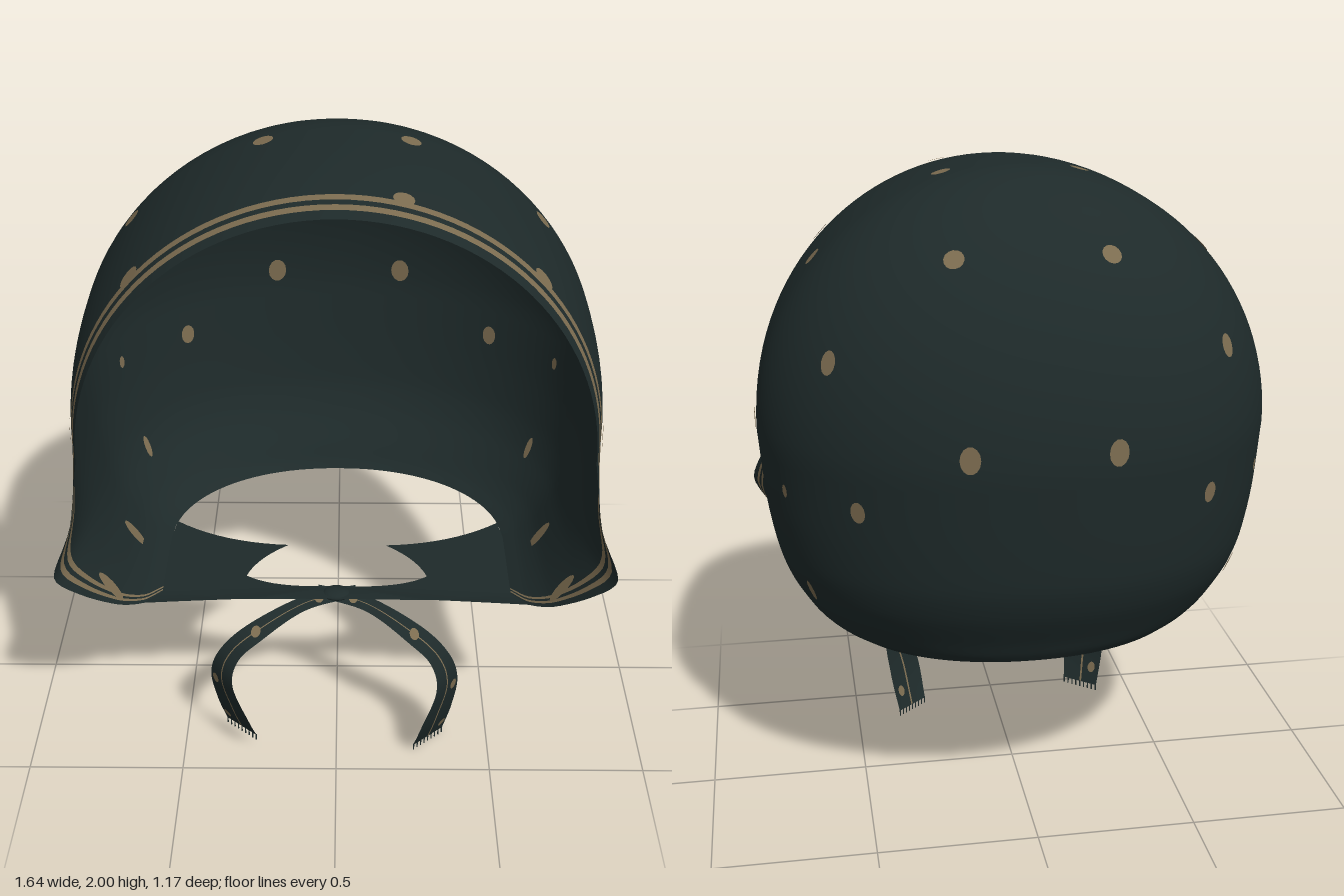
import * as THREE from 'three';
import { mergeVertices } from 'three/addons/utils/BufferGeometryUtils.js';

const V = (x, y, z) => new THREE.Vector3(x, y, z);
const lerp = THREE.MathUtils.lerp, clamp = THREE.MathUtils.clamp;

// Surface from fn(row, column); the listed columns take the second material
function grid(fn, rows, cols, striped) {
  const pos = [], plain = [], stripe = [];
  for (let r = 0; r <= rows; r++) for (let c = 0; c <= cols; c++) pos.push(...fn(r, c).toArray());
  for (let r = 0; r < rows; r++) for (let c = 0; c < cols; c++) {
    const a = r * (cols + 1) + c, b = a + cols + 1;
    (striped.includes(c) ? stripe : plain).push(a, a + 1, b, a + 1, b + 1, b);
  }
  let g = new THREE.BufferGeometry();
  g.setAttribute('position', new THREE.Float32BufferAttribute(pos, 3));
  g.setIndex([...plain, ...stripe]);
  g = mergeVertices(g, 1e-5);
  g.clearGroups();
  g.addGroup(0, plain.length, 0);
  g.addGroup(plain.length, stripe.length, 1);
  g.computeVertexNormals();
  return g;
}

// Lower hood levels: y, side half-width, back depth, front edge z, front edge half-width
const LEVELS = [
  [0.57, 0.55, 0.41, 0.30, 0.55], [0.6, 0.6, 0.43, 0.39, 0.6], [0.65, 0.65, 0.455, 0.46, 0.665],
  [0.75, 0.71, 0.51, 0.54, 0.755], [0.85, 0.745, 0.545, 0.585, 0.82], [1.0, 0.772, 0.565, 0.55, 0.765],
  [1.22, 0.79, 0.585, 0.53, 0.73],
];
const sideCurve = new THREE.CatmullRomCurve3(LEVELS.map(l => V(l[0], l[1], l[2])), false, 'catmullrom', 0.4);
const edgeCurve = new THREE.CatmullRomCurve3(LEVELS.map(l => V(l[0], l[3], l[4])), false, 'catmullrom', 0.4);

const LOW = 30, HIGH = 30, BANDS = [0, 0.04, 0.065, 0.087, 0.112], SIDE = 14, ARC = 26;
const HALF = SIDE + ARC;

// One point of the hood: U-shaped rings, closing to a ridge at the crown
function hoodPoint(r, c) {
  const s = c <= HALF ? 1 : -1, i = c <= HALF ? c : 2 * HALF - c;
  let y, W, B, F, X, yf;
  if (r <= LOW) {
    const p = sideCurve.getPoint(r / LOW), q = edgeCurve.getPoint(r / LOW);
    y = yf = p.x; W = p.y; B = p.z; F = q.y; X = q.z;
  } else {
    const b = (r - LOW) / HIGH * Math.PI / 2, co = r === LOW + HIGH ? 0 : Math.cos(b);
    y = 1.22 + 0.78 * Math.sin(b); yf = 1.22 + 0.735 * Math.sin(b);
    W = 0.79 * co; B = 0.585 * co; F = lerp(0.53, 0.517, Math.sin(b)); X = 0.73 * co;
  }
  if (i > SIDE) {
    const a = (i - SIDE) / ARC * Math.PI / 2;
    return V(i === HALF ? 0 : s * W * Math.cos(a) ** 0.94, y, -B * Math.sin(a));
  }
  // the printed band narrows towards the chin
  const band = clamp((y - 0.45) / 0.4, 0, 1);
  const d = i < 5 ? BANDS[i] * band : lerp(BANDS[4] * band, F, (i - 4) / (SIDE - 4));
  const k = Math.max(0, 1 - d / F) ** 2.6;
  return V(s * lerp(W, X, k), lerp(y, yf, k), i === SIDE ? 0 : F - d);
}

// Dots on the hood: x, y, z, width, height, and 1 where only the +x side has it
const DOTS = [
  [0.21, 1.28, -0.57, 1, 1.35], [0.22, 1.79, -0.36, 1, 1], [0.5, 1.1, -0.42, 0.8, 1.1],
  [0.57, 1.51, -0.34, 0.85, 1.2], [0.21, 1.98, 0.03, 1, 1], [0.6, 1.74, 0.03, 1, 1],
  [0.79, 1.235, 0.07, 0.95, 1.1], [0.73, 1.1, -0.25, 0.4, 0.7], [0.66, 0.77, -0.24, 0.4, 1.3],
  [0.65, 0.665, 0.11, 0.75, 1.9], [0.55, 1.73, 0.41, 1, 1.2], [0.77, 1.25, 0.42, 0.9, 1.4],
  [0.18, 1.97, 0.4, 1, 1, 1], [0.69, 0.69, 0.42, 0.75, 1.9],
];

export function createModel() {
  const model = new THREE.Group();
  model.name = 'headscarf';
  const cloth = new THREE.MeshStandardMaterial({ color: 0x1e2a2a, side: THREE.DoubleSide });
  cloth.name = 'dark green cloth';
  const tan = new THREE.MeshStandardMaterial({ color: 0x7c6c50, side: THREE.DoubleSide });
  tan.name = 'tan print';
  const add = (name, geo, mat, parent = model) => {
    const m = new THREE.Mesh(geo, mat);
    m.name = name;
    parent.add(m);
    return m;
  };

  // Upright discs laid on both faces of a surface at the vertex nearest the target
  const disc = new THREE.CircleGeometry(0.03, 14);
  function dot(geo, target, width, height, parent) {
    const P = geo.attributes.position, N = geo.attributes.normal, p = V(), n = V();
    let best = 0, bd = Infinity;
    for (let i = 0; i < P.count; i++) {
      const d = p.fromBufferAttribute(P, i).distanceToSquared(target);
      if (d < bd) { bd = d; best = i; }
    }
    p.fromBufferAttribute(P, best);
    n.fromBufferAttribute(N, best);
    const at = target.clone().addScaledVector(n, -target.clone().sub(p).dot(n));
    const across = V(0, 1, 0).cross(n).normalize();
    const frame = new THREE.Matrix4().makeBasis(across, n.clone().cross(across), n);
    for (const s of [1, -1]) {
      const m = add('dot', disc, tan, parent);
      m.position.copy(at).addScaledVector(n, s * 0.004);
      m.quaternion.setFromRotationMatrix(frame);
      m.scale.set(width, height, 1);
    }
  }

  // Hood with two printed stripes along the front edge
  const last = 2 * HALF - 1;
  const hood = grid(hoodPoint, LOW + HIGH, 2 * HALF, [1, 3, last - 1, last - 3]);
  add('hood', hood, [cloth, tan]);
  const dots = new THREE.Group();
  dots.name = 'hoodDots';
  model.add(dots);
  for (const [x, y, z, w, h, single] of DOTS)
    for (const s of single ? [1] : [1, -1]) dot(hood, V(s * x, y, z), w, h, dots);

  // Chin flaps: a pointed lapel with a narrow strap running to the knot
  for (const s of [1, -1]) {
    const shape = new THREE.Shape();
    shape.moveTo(0.552, 0.3);
    shape.lineTo(0.6, 0.39);
    shape.quadraticCurveTo(0.3, 0.35, 0, 0.33);
    shape.lineTo(0, 0.265);
    shape.quadraticCurveTo(0.2, 0.28, 0.29, 0.215);
    shape.quadraticCurveTo(0.26, 0.12, 0.16, 0.05);
    shape.quadraticCurveTo(0.38, 0.04, 0.54, -0.08);
    shape.lineTo(0.552, 0);
    const flap = new THREE.ShapeGeometry(shape, 10);
    const P = flap.attributes.position;
    for (let i = 0; i < P.count; i++) {
      const x = P.getX(i), z = P.getY(i);
      P.setXYZ(i, s * x, 0.572 + 0.028 * clamp((z - 0.3) / 0.09, 0, 1) * clamp(x / 0.3, 0, 1), z);
    }
    flap.computeVertexNormals();
    add(s > 0 ? 'leftChinFlap' : 'rightChinFlap', flap, cloth);
  }

  // Knot
  const knot = add('knot', new THREE.SphereGeometry(1, 20, 12), cloth);
  knot.position.set(0, 0.567, 0.295);
  knot.scale.set(0.045, 0.016, 0.035);

  // Hanging ribbon ends with a thin stripe, dots and fringe
  const outer = [[0.06, 0.58, 0.27], [-0.1, 0.56, 0.3], [-0.27, 0.505, 0.37], [-0.365, 0.42, 0.39],
    [-0.403, 0.31, 0.375], [-0.39, 0.18, 0.355], [-0.365, 0.06, 0.325]];
  const inner = [[0.06, 0.555, 0.3], [-0.1, 0.53, 0.34], [-0.24, 0.47, 0.42], [-0.31, 0.405, 0.44],
    [-0.328, 0.32, 0.465], [-0.28, 0.18, 0.475], [-0.262, 0.06, 0.41]];
  const COLS = [0, 0.25, 0.46, 0.51, 0.75, 1];
  for (const s of [1, -1]) {
    const g = new THREE.Group();
    g.name = s > 0 ? 'rightTie' : 'leftTie';
    model.add(g);
    const place = ([x, y, z]) => s > 0 ? V(x, y, z) : V(-x * 0.97, y - 0.04 * (0.57 - y) / 0.51, z);
    const a = new THREE.CatmullRomCurve3(outer.map(place), false, 'catmullrom');
    const b = new THREE.CatmullRomCurve3(inner.map(place), false, 'catmullrom');
    const at = (t, v) => a.getPoint(t).lerp(b.getPoint(t), v);
    const ribbon = grid((r, c) => at(r / 48, COLS[c]), 48, 5, [2]);
    add('ribbon', ribbon, [cloth, tan], g);
    for (const [t, v] of [[0.12, 0.4], [0.33, 0.5], [0.68, 0.25], [0.92, 0.2]]) dot(ribbon, at(t, v), 0.5, 0.65, g);
    for (let i = 0; i < 9; i++) {
      const f = add('fringe', new THREE.BoxGeometry(0.004, 0.022, 0.004), cloth, g);
      f.position.copy(at(1, 0.02 + 0.12 * i)).y -= 0.009;
    }
  }
  return model;
}
